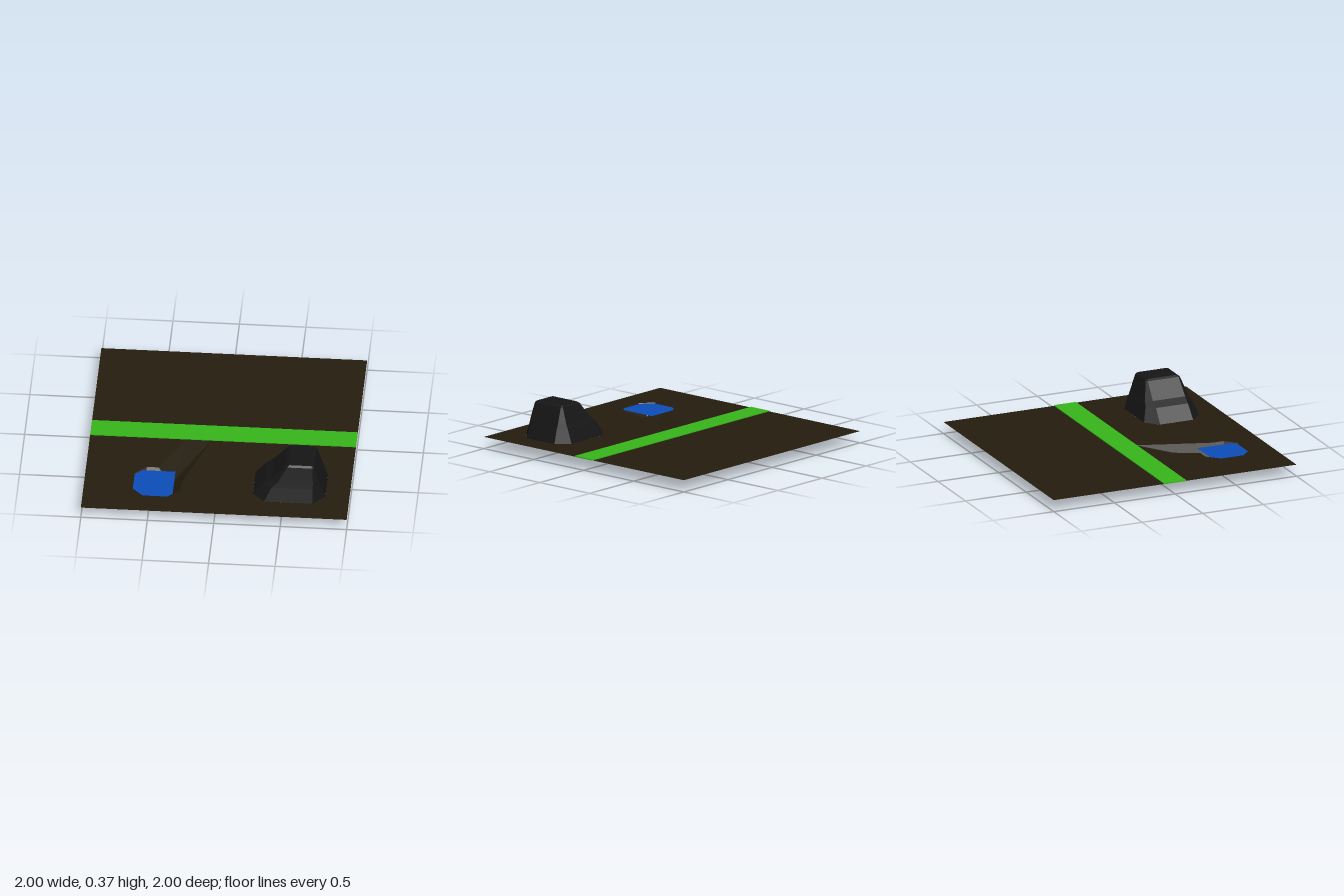
import * as THREE from 'three';

const C = 1 / 11;          // terrain cell size
const GROUND = C;          // ground level

const material = (color) =>
  new THREE.MeshStandardMaterial({ color, flatShading: true, side: THREE.DoubleSide });

function mesh(name, geometry, mat) {
  const m = new THREE.Mesh(geometry, mat);
  m.name = name;
  return m;
}

// Flat sheet at height y from [x, z] outline points, with optional holes
function sheet(points, y, holes = []) {
  const vec = (list) => list.map(([x, z]) => new THREE.Vector2(x, -z));
  const shape = new THREE.Shape(vec(points));
  for (const h of holes) shape.holes.push(new THREE.Path(vec(h)));
  return new THREE.ShapeGeometry(shape).rotateX(-Math.PI / 2).translate(0, y, 0);
}

function fromTriangles(corners) {
  const g = new THREE.BufferGeometry();
  g.setAttribute('position', new THREE.Float32BufferAttribute(corners.flat(), 3));
  g.computeVertexNormals();
  return g;
}

// Rectangle with cut corners, as [x, z] points starting at the back of the left-hand side
function octagon(x0, x1, z0, z1, c) {
  return [
    [x0, z0 + c], [x0 + c, z0], [x1 - c, z0], [x1, z0 + c],
    [x1, z1 - c], [x1 - c, z1], [x0 + c, z1], [x0, z1 - c],
  ];
}

// Sunken basin with a gully climbing to the grass strip
const rim = [[-7, 6], [-6, 5], [-5, 5], [-3, 1], [-1, 1], [-3, 7], [-3, 8], [-4, 9], [-6, 9], [-7, 8]]
  .map(([i, k]) => [i * C, k * C]);
const floor = [[-6, 6], [-4, 6], [-4, 8], [-6, 8]].map(([i, k]) => [i * C, 0, k * C]);

function basin() {
  const R = rim.map(([x, z]) => [x, GROUND, z]);
  const nearest = [0, 0, 1, 1, 1, 1, 2, 2, 3, 3];   // floor corner under each rim point
  const tris = [floor[0], floor[3], floor[2], floor[0], floor[2], floor[1]];
  for (let i = 0; i < R.length; i++) {
    const j = (i + 1) % R.length;
    const a = floor[nearest[i]], b = floor[nearest[j]];
    if (a === b) {
      tris.push(a, R[j], R[i]);
    } else if (i === 1) {
      // slope between the back rim and the gully mouth
      tris.push(a, R[j], R[i], a, b, R[j]);
    } else {
      tris.push(a, R[j], R[i], a, b, R[j]);
    }
  }
  return fromTriangles(tris);
}

// Hollow boulder lofted through rings; the -x side steps in at a shoulder
const rockBase = octagon(3 * C, 9 * C, 4 * C, 9 * C, C);

function boulder() {
  // x0, x1, z0, z1, corner, height on the -x side, height elsewhere
  const rings = [
    [0.273, 0.818, 0.364, 0.818, C, GROUND, GROUND],
    [0.358, 0.786, 0.400, 0.782, 0.06, 0.195, 0.195],
    [0.415, 0.773, 0.415, 0.770, 0.045, 0.233, 0.233],
    [0.522, 0.734, 0.454, 0.733, 0.012, 0.355, 0.355],
    [0.540, 0.718, 0.468, 0.718, 0.008, 0.367, 0.367],
  ].map(([x0, x1, z0, z1, c, yLeft, y]) =>
    octagon(x0, x1, z0, z1, c).map(([x, z], i) => [x, i === 0 || i === 7 ? yLeft : y, z]));
  const tris = [];
  for (let r = 0; r < rings.length - 1; r++) {
    for (let i = 0; i < 8; i++) {
      const j = (i + 1) % 8;
      const [a, b, c, d] = [rings[r][i], rings[r][j], rings[r + 1][j], rings[r + 1][i]];
      tris.push(a, d, c, a, c, b);
    }
  }
  const top = rings[rings.length - 1];
  for (let i = 1; i < 7; i++) tris.push(top[0], top[i + 1], top[i]);
  return fromTriangles(tris);
}

export function createModel() {
  const model = new THREE.Group();
  model.name = 'landscape';
  const soil = material(0x241c0e);

  // Ground on both sides of the strip; the front half opens for basin and boulder
  const back = [[-1, -1], [1, -1], [1, -C], [-1, -C]];
  const front = [
    [-1, C], rim[3], ...rim.slice(0, 3).reverse(), ...rim.slice(4).reverse(),
    [1, C], [1, 1], [-1, 1],
  ];
  model.add(mesh('backGround', sheet(back, GROUND), soil));
  model.add(mesh('frontGround', sheet(front, GROUND, [rockBase]), soil));
  model.add(mesh('basin', basin(), soil));

  // Grass strip across the middle
  const strip = mesh('grassStrip', new THREE.BoxGeometry(2, 0.008, 2 * C), material(0x36b31b));
  strip.position.y = GROUND + 0.002;
  model.add(strip);

  // Water lying just below the rim
  const water = [
    [-0.632, 0.54], [-0.582, 0.49], [-0.327, 0.49], [-0.327, 0.77],
    [-0.362, 0.805], [-0.55, 0.805], [-0.632, 0.73],
  ];
  model.add(mesh('water', sheet(water, 0.085), material(0x0c4bb6)));

  model.add(mesh('boulder', boulder(), material(0x151515)));
  return model;
}
